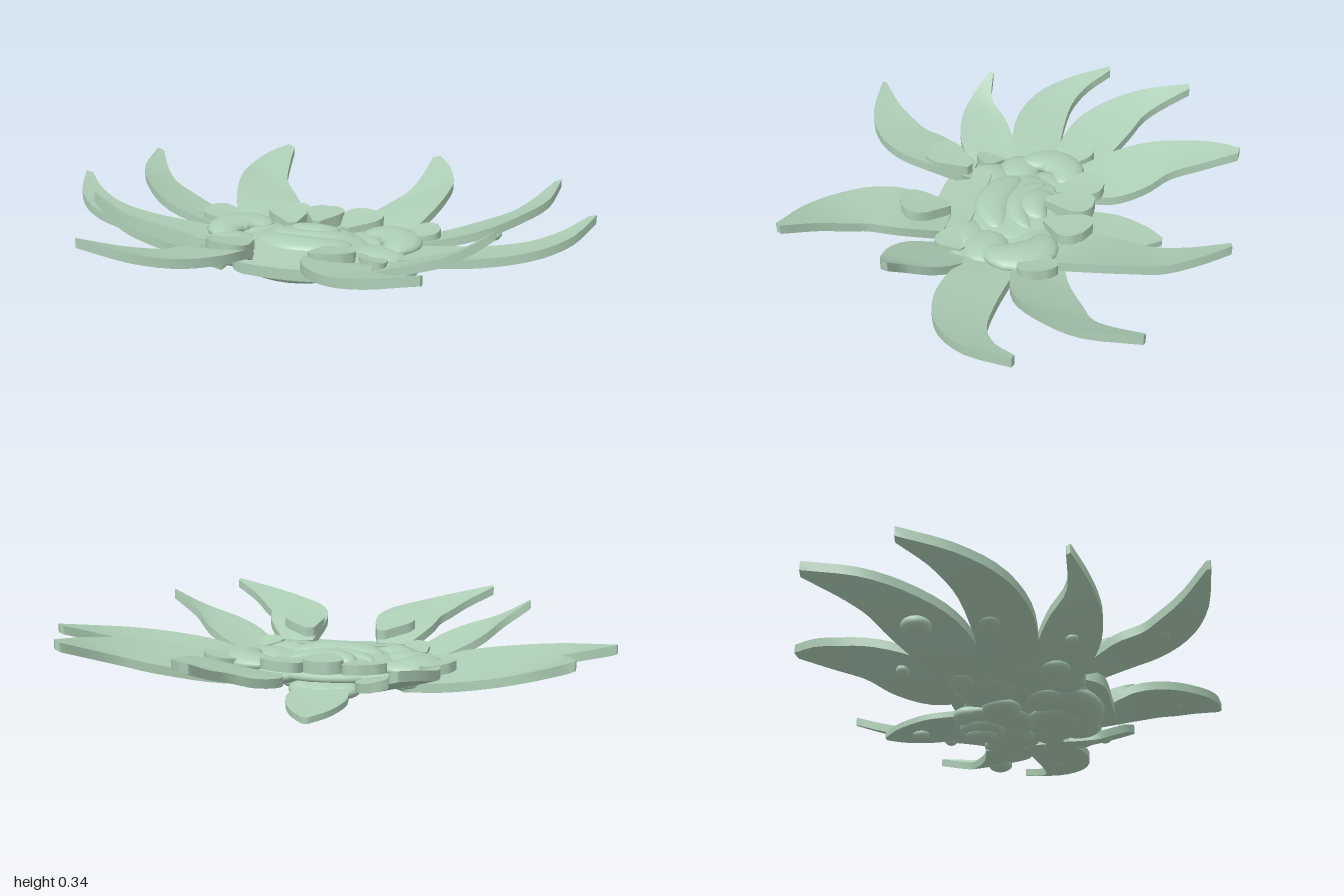
import * as THREE from 'three';
import { mergeVertices } from 'three/addons/utils/BufferGeometryUtils.js';

// Curved slab lofted through stations [xA, zA, yA, xB, zB, yB], base to tip, B on the right
function plateGeometry(stations, thick, side = 1) {
  const A = stations.map(s => new THREE.Vector3(s[0] * side, s[2], s[1]));
  const B = stations.map(s => new THREE.Vector3(s[3] * side, s[5], s[4]));
  const [left, right] = side > 0 ? [A, B] : [B, A];
  const rows = 16, cols = 4, pos = [], idx = [];
  const l = new THREE.CatmullRomCurve3(left), r = new THREE.CatmullRomCurve3(right);
  const grid = [];
  for (let i = 0; i <= rows; i++) {
    const a = l.getPoint(i / rows), b = r.getPoint(i / rows);
    grid.push([]);
    for (let j = 0; j <= cols; j++) {
      const p = a.clone().lerp(b, j / cols);
      p.y -= 0.05 * a.distanceTo(b) * (j / cols) * (1 - j / cols); // slight cupping
      grid[i].push(p);
    }
  }
  const add = (p, dy) => pos.push(p.x, p.y + dy, p.z) / 3 - 1;
  // Top and underside
  for (const dy of [0, -thick]) {
    const ids = grid.map(row => row.map(p => add(p, dy)));
    for (let i = 0; i < rows; i++) for (let j = 0; j < cols; j++) {
      const a = ids[i][j], b = ids[i][j + 1], c = ids[i + 1][j], d = ids[i + 1][j + 1];
      if (dy === 0) idx.push(a, b, c, b, d, c);
      else idx.push(a, c, b, b, c, d);
    }
  }
  // Rim
  const rim = [];
  for (let i = 0; i < rows; i++) rim.push(grid[i][0]);
  for (let j = 0; j < cols; j++) rim.push(grid[rows][j]);
  for (let i = rows; i > 0; i--) rim.push(grid[i][cols]);
  for (let j = cols; j > 0; j--) rim.push(grid[0][j]);
  const ring = rim.map(p => [add(p, 0), add(p, -thick)]);
  ring.forEach(([t0, b0], k) => {
    const [t1, b1] = ring[(k + 1) % ring.length];
    idx.push(t0, t1, b0, t1, b1, b0);
  });
  const g = new THREE.BufferGeometry();
  g.setAttribute('position', new THREE.Float32BufferAttribute(pos, 3));
  g.setIndex(idx);
  g.computeVertexNormals();
  return g;
}

// Stations for a paddle from (x0, z0), its narrow end, to (x1, z1)
function paddle(x0, z0, y0, x1, z1, y1, w) {
  const len = Math.hypot(x1 - x0, z1 - z0), rx = -(z1 - z0) / len, rz = (x1 - x0) / len;
  return [[0, 0.2], [0.25, 0.55], [0.6, 0.97], [0.85, 0.9], [1, 0.4]].map(([t, k]) => {
    const x = x0 + (x1 - x0) * t, z = z0 + (z1 - z0) * t, y = y0 + (y1 - y0) * t;
    return [x - rx * w * k, z - rz * w * k, y, x + rx * w * k, z + rz * w * k, y];
  });
}

// Sphere bent around an arc to make a tapering crescent
function crescentGeometry(R, mid, half, width, height) {
  let g = new THREE.SphereGeometry(1, 32, 16);
  g.deleteAttribute('uv');
  g.deleteAttribute('normal');
  g = mergeVertices(g);
  const p = g.attributes.position;
  for (let i = 0; i < p.count; i++) {
    const a = mid + p.getX(i) * half, r = R + p.getZ(i) * width;
    p.setXYZ(i, Math.sin(a) * r, p.getY(i) * height, Math.cos(a) * r);
  }
  g.computeVertexNormals();
  return g;
}

export function createModel() {
  const model = new THREE.Group();
  const sage = new THREE.MeshStandardMaterial({ color: 0xadcdb5 });
  sage.name = 'sageGreen';
  const put = (name, geometry, x = 0, y = 0, z = 0) => {
    const m = new THREE.Mesh(geometry, sage);
    m.name = name;
    m.position.set(x, y, z);
    model.add(m);
    return m;
  };
  const blob = (name, x, y, z, rx, ry, rz) =>
    put(name, new THREE.SphereGeometry(1, 24, 14), x, y, z).scale.set(rx, ry, rz);

  // Five curved petals per side
  const petals = {
    backPetal: [[0.16, -0.12, 0.12, 0.32, -0.1, 0.13], [0.13, -0.29, 0.14, 0.4, -0.28, 0.2],
      [0.19, -0.41, 0.165, 0.43, -0.42, 0.235], [0.255, -0.49, 0.2, 0.43, -0.53, 0.25],
      [0.285, -0.6, 0.235, 0.395, -0.64, 0.275], [0.305, -0.735, 0.285, 0.335, -0.74, 0.293]],
    upperSidePetal: [[0.28, -0.18, 0.115, 0.3, -0.03, 0.12], [0.42, -0.22, 0.13, 0.46, -0.03, 0.165],
      [0.6, -0.3, 0.175, 0.62, -0.08, 0.205], [0.69, -0.34, 0.205, 0.74, -0.19, 0.24],
      [0.75, -0.4, 0.235, 0.82, -0.32, 0.265], [0.825, -0.515, 0.285, 0.85, -0.51, 0.295]],
    sidePetal: [[0.28, -0.03, 0.125, 0.28, 0.12, 0.125], [0.45, -0.03, 0.145, 0.48, 0.17, 0.165],
      [0.62, -0.02, 0.165, 0.66, 0.175, 0.19], [0.78, -0.03, 0.195, 0.82, 0.12, 0.215],
      [0.89, -0.08, 0.23, 0.93, 0.01, 0.24], [0.975, -0.16, 0.268, 1, -0.155, 0.275]],
    lowerSidePetal: [[0.25, 0.13, 0.115, 0.25, 0.27, 0.115], [0.35, 0.13, 0.13, 0.37, 0.355, 0.185],
      [0.45, 0.16, 0.17, 0.47, 0.38, 0.225], [0.54, 0.215, 0.215, 0.56, 0.375, 0.255],
      [0.61, 0.285, 0.265, 0.64, 0.35, 0.295], [0.705, 0.3, 0.335, 0.708, 0.315, 0.34]],
    frontPetal: [[0.25, 0.26, 0.16, 0.13, 0.26, 0.16], [0.33, 0.4, 0.21, 0.1, 0.42, 0.225],
      [0.355, 0.5, 0.23, 0.14, 0.55, 0.245], [0.39, 0.55, 0.245, 0.24, 0.655, 0.26],
      [0.45, 0.63, 0.275, 0.37, 0.715, 0.285], [0.555, 0.72, 0.32, 0.55, 0.735, 0.325]],
  };
  // Small paddles lying over the petal roots
  const paddles = {
    frontPaddle: paddle(0.14, 0.26, 0.21, 0.205, 0.425, 0.245, 0.08),
    lowerSidePaddle: paddle(0.32, 0.17, 0.15, 0.27, 0.26, 0.175, 0.052),
    upperSidePaddle: paddle(0.3, -0.07, 0.155, 0.45, -0.13, 0.187, 0.07),
    backPaddle: paddle(0.1, -0.08, 0.165, 0.17, -0.245, 0.19, 0.08),
  };
  // Beads under the petals, then lobes around the core: x, y, z, rx, ry, rz
  const beads = [[0.32, 0.156, -0.335, 0.03, 0.02, 0.025], [0.62, 0.155, -0.2, 0.05, 0.028, 0.05],
    [0.62, 0.143, 0.04, 0.035, 0.018, 0.035], [0.43, 0.157, 0.27, 0.025, 0.018, 0.025],
    [0.29, 0.219, 0.56, 0.03, 0.017, 0.025]];
  const lobes = [[0.27, 0.125, 0.1, 0.11, 0.038, 0.085], [0.2, 0.125, 0.2, 0.1, 0.04, 0.085],
    [0.2, 0.11, -0.06, 0.13, 0.04, 0.12], [0.12, 0.075, -0.03, 0.07, 0.03, 0.07],
    [0.12, 0.09, 0.13, 0.09, 0.03, 0.08], [0.07, 0.075, -0.16, 0.06, 0.03, 0.06],
    [0.3, 0.105, -0.13, 0.07, 0.03, 0.06], [0.31, 0.115, 0.19, 0.06, 0.03, 0.06]];

  for (const side of [1, -1]) {
    const tag = side > 0 ? 'Left' : 'Right';
    for (const [name, s] of Object.entries(petals)) put(name + tag, plateGeometry(s, 0.033, side));
    for (const [name, s] of Object.entries(paddles)) put(name + tag, plateGeometry(s, 0.036, side));
    for (const [x, ...rest] of beads) blob('bead' + tag, x * side, ...rest);
    for (const [x, ...rest] of lobes) blob('lobe' + tag, x * side, ...rest);
    // Plump curl at each shoulder
    put('shoulderCurl' + tag, crescentGeometry(0.085, side * 2.15, 1.8, 0.08, 0.034),
      side * 0.25, 0.146, -0.005);
  }

  // Pieces on the centre line
  put('rearPetal', plateGeometry([[-0.05, -0.08, 0.11, 0.05, -0.08, 0.11],
    [-0.1, -0.24, 0.088, 0.1, -0.24, 0.088], [-0.105, -0.32, 0.081, 0.105, -0.32, 0.081],
    [-0.065, -0.43, 0.072, 0.065, -0.43, 0.072], [-0.012, -0.495, 0.066, 0.012, -0.495, 0.066]], 0.022));
  blob('rearBead', 0, 0.051, -0.36, 0.03, 0.02, 0.03);
  put('rearShield', plateGeometry(paddle(0, -0.06, 0.187, 0, -0.24, 0.192, 0.072), 0.045));
  put('frontPlate', plateGeometry([[0.17, 0.18, 0.165, -0.17, 0.18, 0.165],
    [0.21, 0.24, 0.16, -0.21, 0.24, 0.16], [0.19, 0.31, 0.152, -0.19, 0.31, 0.152],
    [0.15, 0.34, 0.148, -0.15, 0.34, 0.148], [0.08, 0.348, 0.146, -0.08, 0.348, 0.146]], 0.04));

  // Core with stacked crescents on top
  blob('core', 0, 0.115, 0.06, 0.29, 0.045, 0.25);
  blob('bowl', 0, 0.138, 0.07, 0.23, 0.03, 0.2);
  put('largeCrescent', crescentGeometry(0.26, 0, 0.74, 0.07, 0.036), 0, 0.15, -0.125);
  put('middleCrescent', crescentGeometry(0.19, 0, 0.95, 0.05, 0.032), 0, 0.148, -0.145);
  put('smallCrescent', crescentGeometry(0.07, 0, 1.5, 0.06, 0.034), 0, 0.152, -0.085);

  // Stacked bulbs beneath the core
  blob('keelBulb', 0, 0.036, -0.13, 0.05, 0.032, 0.06);
  blob('keelMiddle', 0, 0.054, -0.125, 0.085, 0.034, 0.085);
  blob('keelCollar', 0, 0.075, -0.11, 0.13, 0.036, 0.12);
  blob('middleBulb', 0, 0.075, 0.0, 0.1, 0.033, 0.07);
  blob('frontBulb', 0, 0.073, 0.14, 0.1, 0.036, 0.1);
  blob('frontCollar', 0, 0.1, 0.19, 0.19, 0.045, 0.13);
  return model;
}
